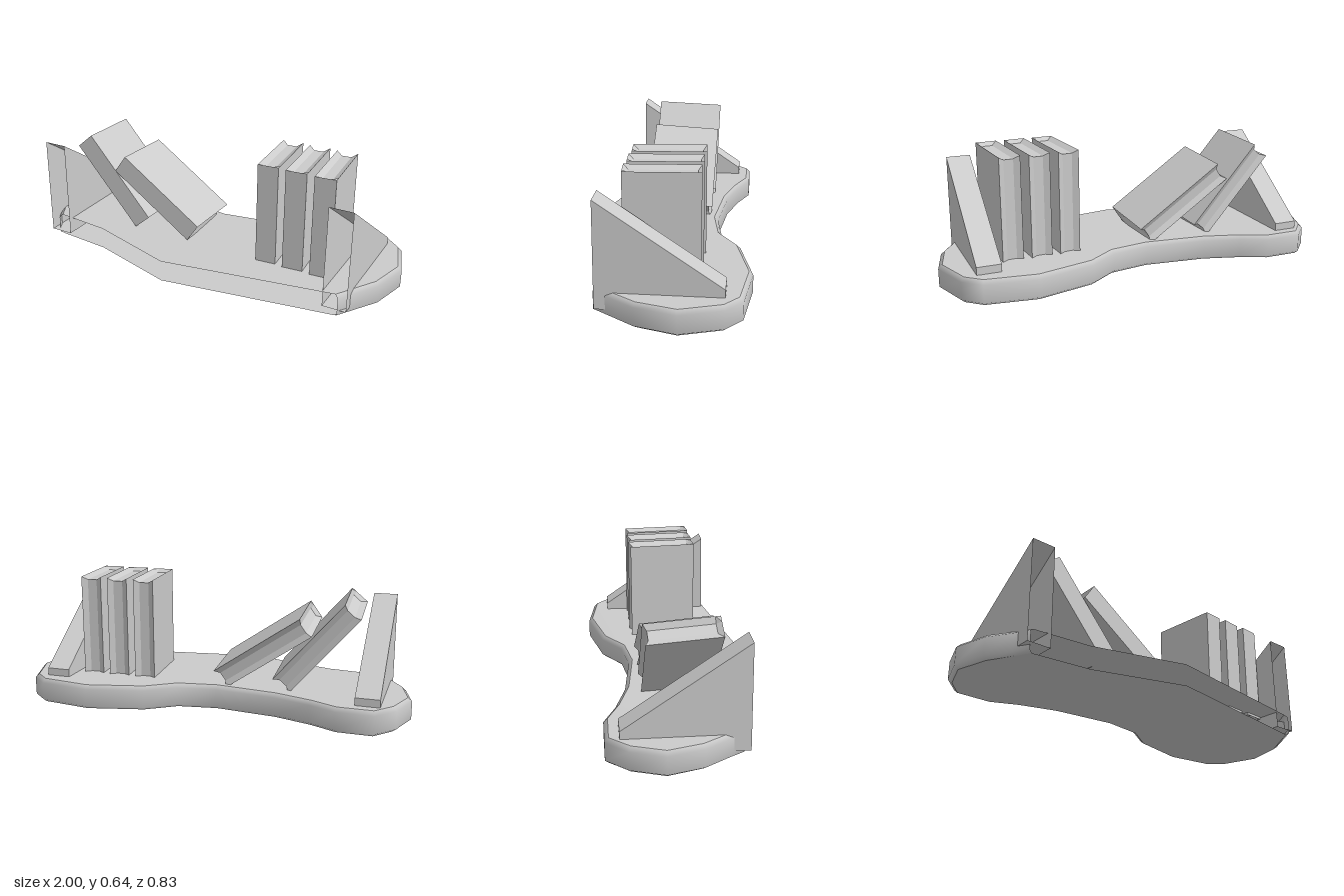
import * as THREE from 'three';

const grey = new THREE.MeshStandardMaterial({ color: 0xcccccc, side: THREE.DoubleSide });
const flat = new THREE.MeshStandardMaterial({ color: 0xcccccc, side: THREE.DoubleSide, flatShading: true });

// Walled edge of the board (x, z), from the left-hand front corner round the back
const EDGE = [
  [-0.84, 0.25], [-0.88, 0.18], [-0.955, 0.06], [-1, -0.11], [-0.945, -0.27], [-0.855, -0.37],
  [-0.67, -0.37], [-0.535, -0.31], [-0.35, -0.255], [-0.04, -0.22], [0.155, -0.25], [0.3, -0.35],
  [0.59, -0.42], [0.85, -0.385], [0.935, -0.31], [1, -0.11], [0.95, 0.085], [0.82, 0.285],
];
// Open front edge, where the top and bottom sheets run on without a wall
const FRONT = [[-0.07, 0.41], [-0.53, 0.27]];

// The sheets close in slightly towards the front tip
const topY = (z) => 0.127 - 0.018 * Math.max(0, z);
const bottomY = (z) => 0.002 + 0.02 * Math.max(0, z);

function inset(points, d) {
  return points.map(([x, z], i) => {
    const a = points[Math.max(i - 1, 0)], b = points[Math.min(i + 1, points.length - 1)];
    const tx = b[0] - a[0], tz = b[1] - a[1], l = Math.hypot(tx, tz);
    return [x - (tz / l) * d, z + (tx / l) * d];
  });
}

function mesh(name, geometry, material) {
  const m = new THREE.Mesh(geometry, material);
  m.name = name;
  return m;
}

function boardSheet(outline, top) {
  const shape = new THREE.Shape(outline.map(([x, z]) => new THREE.Vector2(x, top ? -z : z)));
  const g = new THREE.ShapeGeometry(shape).rotateX(top ? -Math.PI / 2 : Math.PI / 2);
  const p = g.attributes.position;
  for (let i = 0; i < p.count; i++) p.setY(i, top ? topY(p.getZ(i)) : bottomY(p.getZ(i)));
  g.computeVertexNormals();
  return g;
}

function boardWall(inner) {
  const pos = [], index = [], rows = 4;
  EDGE.forEach(([x, z], i) => {
    const [ix, iz] = inner[i];
    pos.push(ix, bottomY(iz), iz, x, 0.018, z, x, 0.107, z, ix, topY(iz), iz);
    if (i === EDGE.length - 1) return;
    for (let j = 0; j < rows - 1; j++) {
      const a = i * rows + j, b = a + rows;
      index.push(a, a + 1, b, b, a + 1, b + 1);
    }
  });
  const g = new THREE.BufferGeometry();
  g.setAttribute('position', new THREE.Float32BufferAttribute(pos, 3));
  g.setIndex(index);
  g.computeVertexNormals();
  return g;
}

// Box with the pages sunk between the covers on the top, bottom and fore edge
function bookGeometry() {
  const w = 0.105, h = 0.53, d = 0.35;
  const g = new THREE.BoxGeometry(w, h, d, 3, 1, 2);
  const p = g.attributes.position;
  for (let i = 0; i < p.count; i++) {
    const x = p.getX(i), y = p.getY(i), z = p.getZ(i);
    const inside = Math.abs(x) < w * 0.4;
    if (inside) p.setX(i, Math.sign(x) * 0.024);
    if (Math.abs(z) < 0.01) p.setZ(i, d / 2 - 0.025);
    if (inside && z < d / 2 - 0.01) {
      p.setY(i, y - Math.sign(y) * 0.017);
      if (z < -0.1) p.setZ(i, z + 0.017);
    }
  }
  g.computeVertexNormals();
  return g;
}

// Wedge with an open front, reaching down into the board
function bookendGeometry() {
  const profile = [[0.268, 0.555], [-0.305, 0.165], [-0.305, 0.04], [0.275, 0.04]]; // z, y
  const half = 0.06, pos = [], index = [];
  profile.forEach(([z, y]) => pos.push(-half, y, z, half, y, z));
  for (let i = 0; i < 3; i++) {
    const a = i * 2;
    index.push(a, a + 1, a + 2, a + 1, a + 3, a + 2);
  }
  index.push(0, 2, 4, 0, 4, 6, 1, 5, 3, 1, 7, 5);
  const g = new THREE.BufferGeometry();
  g.setAttribute('position', new THREE.Float32BufferAttribute(pos, 3));
  g.setIndex(index);
  const out = g.toNonIndexed();
  out.computeVertexNormals();
  return out;
}

export function createModel() {
  const model = new THREE.Group();
  model.name = 'bookShelf';

  // Board
  const board = new THREE.Group();
  board.name = 'shelfBoard';
  const inner = inset(EDGE, 0.02);
  const outline = [...inner, ...FRONT];
  board.add(
    mesh('boardTop', boardSheet(outline, true), grey),
    mesh('boardBottom', boardSheet(outline, false), grey),
    mesh('boardWall', boardWall(inner), grey),
  );
  model.add(board);

  // Bookends
  const endGeo = bookendGeometry();
  [['leftBookend', 0.8], ['rightBookend', -0.81]].forEach(([name, x]) => {
    const end = mesh(name, endGeo, flat);
    end.position.x = x;
    model.add(end);
  });

  // Books: x, y, lean
  const bookGeo = bookGeometry();
  [
    ['standingBook1', 0.375, 0.375, 0],
    ['standingBook2', 0.52, 0.375, 0],
    ['standingBook3', 0.665, 0.375, 0],
    ['leaningBook1', -0.527, 0.353, 0.716],
    ['leaningBook2', -0.258, 0.312, 0.97],
  ].forEach(([name, x, y, lean]) => {
    const book = mesh(name, bookGeo, flat);
    book.position.set(x, y, -0.01);
    book.rotation.set(0, 0.075, lean, 'ZYX');
    model.add(book);
  });

  return model;
}
